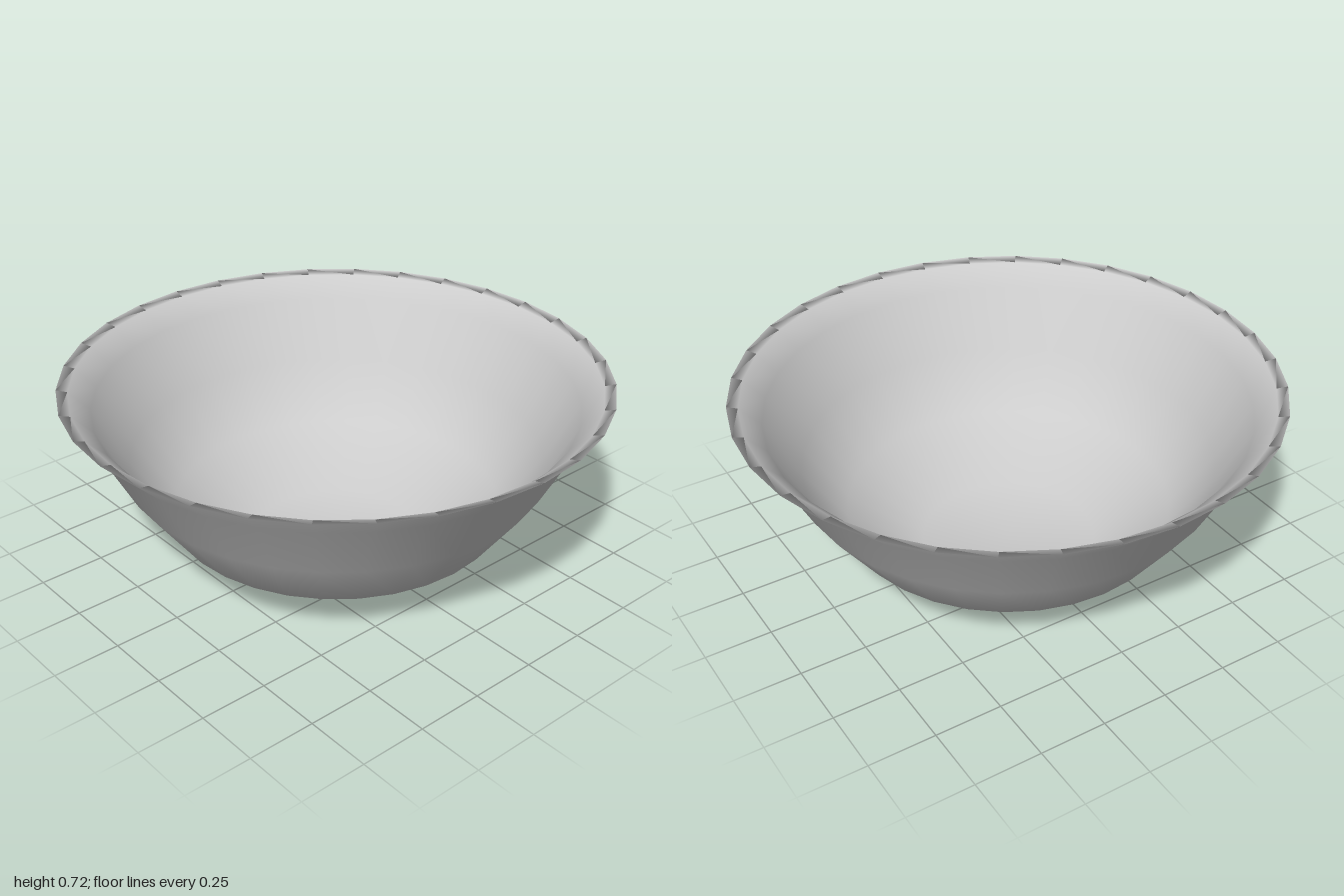
import * as THREE from 'three';

export function createModel() {
  const group = new THREE.Group();
  group.name = 'bowl';

  // Closed wall profile: underside, outer wall, flared rim, then back down the inside
  const profile = [
    [0, 0], [0.34, 0], [0.63, 0.18], [0.79, 0.4], [0.91, 0.63], [1, 0.72],
    [0.96, 0.71], [0.885, 0.635], [0.765, 0.41], [0.61, 0.2], [0.33, 0.03], [0, 0.03],
  ].map(([r, y]) => new THREE.Vector2(r, y));

  // Smooth-shaded shell with 32 sides
  const shell = new THREE.Mesh(
    new THREE.LatheGeometry(profile, 32),
    new THREE.MeshStandardMaterial({ color: 0xcccccc }),
  );
  shell.name = 'bowlShell';
  group.add(shell);
  return group;
}
